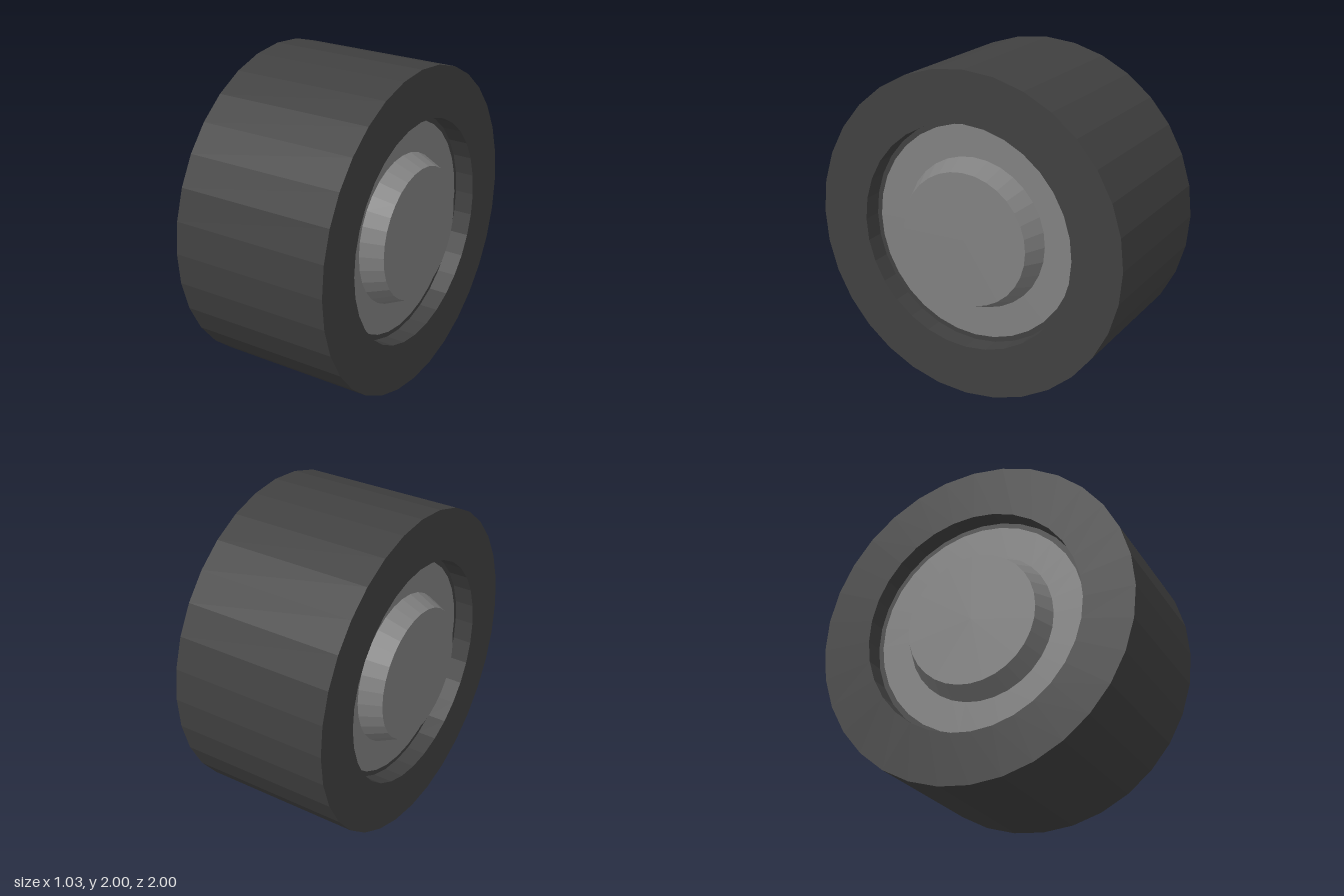
import * as THREE from 'three';

const SIDES = 32;

// Revolves [radius, x] pairs around the x axis
function revolve(points, material, name) {
  const profile = points.map(([r, x]) => new THREE.Vector2(r, x));
  const geometry = new THREE.LatheGeometry(profile, SIDES).toNonIndexed();
  geometry.rotateZ(-Math.PI / 2);
  geometry.computeVertexNormals();
  const mesh = new THREE.Mesh(geometry, material);
  mesh.name = name;
  return mesh;
}

export function createModel() {
  const rubber = new THREE.MeshStandardMaterial({ color: 0x404040 });
  rubber.name = 'dark rubber';
  const metal = new THREE.MeshStandardMaterial({ color: 0x808080 });
  metal.name = 'grey metal';

  const wheel = new THREE.Group();
  wheel.name = 'wheel';

  // Tyre with a recess in both sides
  wheel.add(revolve([
    [0, -0.38], [0.69, -0.38], [0.69, -0.5], [1, -0.5],
    [1, 0.5], [0.69, 0.5], [0.69, 0.38], [0, 0.38],
  ], rubber, 'tyre'));

  // Rim disc and tapered hub cap on each side
  for (const side of [1, -1]) {
    const hub = new THREE.Group();
    hub.name = side > 0 ? 'leftHub' : 'rightHub';
    hub.add(revolve([[0.657, 0.38], [0.657, 0.385], [0.465, 0.385]], metal, 'rimDisc'));
    hub.add(revolve([[0.465, 0.385], [0.408, 0.515], [0, 0.515]], metal, 'hubCap'));
    if (side < 0) hub.rotation.y = Math.PI;
    wheel.add(hub);
  }

  wheel.position.y = 1;
  const model = new THREE.Group();
  model.name = 'wheelModel';
  model.add(wheel);
  return model;
}
